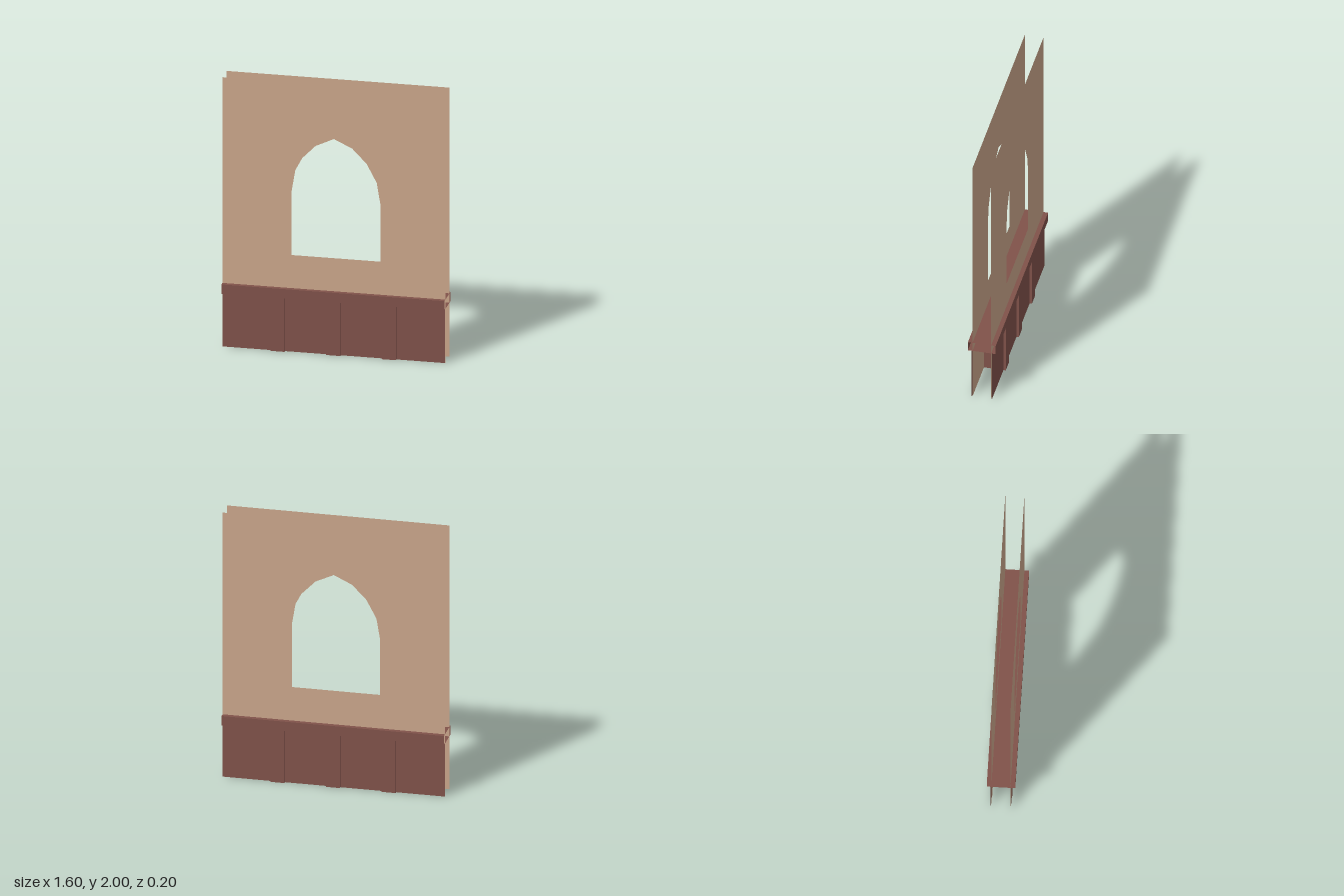
import * as THREE from 'three';

const plaster = new THREE.MeshStandardMaterial({ color: 0xcaa68b, side: THREE.DoubleSide });
plaster.name = 'plaster tan';
const wood = new THREE.MeshStandardMaterial({ color: 0x80524a, side: THREE.DoubleSide });
wood.name = 'dark red wood';

const W = 1.6, H = 2;
const WALL_Z = 0.067, PANEL_Z = 0.073, POST_Z = 0.09, RAIL_Z = 0.1;
const POST_H = 0.4, RAIL_TOP = 0.47;

// Flat rectangle, centred at (x, y, z) and turned to face outwards
function sheet(name, w, h, [x, y, z], rx = 0, ry = 0) {
  const mesh = new THREE.Mesh(new THREE.PlaneGeometry(w, h), wood);
  mesh.name = name;
  mesh.position.set(x, y, z);
  mesh.rotation.set(rx, ry, 0);
  return mesh;
}

// Wall sheet with a pointed-arch window opening
function wallGeometry() {
  const shape = new THREE.Shape([
    [-W / 2, 0], [W / 2, 0], [W / 2, H], [-W / 2, H],
  ].map(p => new THREE.Vector2(...p)));
  const half = [[0.333, 0.667], [0.333, 1.145], [0.307, 1.3], [0.235, 1.435], [0.132, 1.54]];
  const outline = [...half, [0, 1.602], ...half.map(([x, y]) => [-x, y]).reverse()];
  shape.holes.push(new THREE.Path(outline.map(p => new THREE.Vector2(...p))));
  return new THREE.ShapeGeometry(shape);
}

export function createModel() {
  const model = new THREE.Group();
  model.name = 'windowWall';

  // Front and back faces: plaster sheet with a wooden wainscot panel over it
  const geometry = wallGeometry();
  for (const side of [1, -1]) {
    const face = new THREE.Group();
    face.name = side > 0 ? 'frontFace' : 'backFace';
    face.rotation.y = side > 0 ? 0 : Math.PI;
    const wall = new THREE.Mesh(geometry, plaster);
    wall.name = 'wallSheet';
    wall.position.z = WALL_Z;
    face.add(wall, sheet('wainscotPanel', W, POST_H, [0, POST_H / 2, PANEL_Z]));
    model.add(face);
  }

  // Posts run through the wall, open at top and bottom
  for (const x of [-0.4, 0, 0.4]) {
    const post = new THREE.Group();
    post.name = 'post';
    for (const s of [1, -1]) {
      post.add(
        sheet('postFace', 0.1, POST_H, [x, POST_H / 2, s * POST_Z], 0, s > 0 ? 0 : Math.PI),
        sheet('postSide', 2 * POST_Z, POST_H, [x + s * 0.05, POST_H / 2, 0], 0, s * Math.PI / 2),
      );
    }
    model.add(post);
  }

  // Horizontal rail, open at both ends
  const rail = new THREE.Group();
  rail.name = 'rail';
  const railH = RAIL_TOP - POST_H, railY = (RAIL_TOP + POST_H) / 2;
  rail.add(
    sheet('railFront', W, railH, [0, railY, RAIL_Z]),
    sheet('railBack', W, railH, [0, railY, -RAIL_Z], 0, Math.PI),
    sheet('railTop', W, 2 * RAIL_Z, [0, RAIL_TOP, 0], -Math.PI / 2),
    sheet('railUnderside', W, 2 * RAIL_Z, [0, POST_H, 0], Math.PI / 2),
  );
  model.add(rail);

  return model;
}
